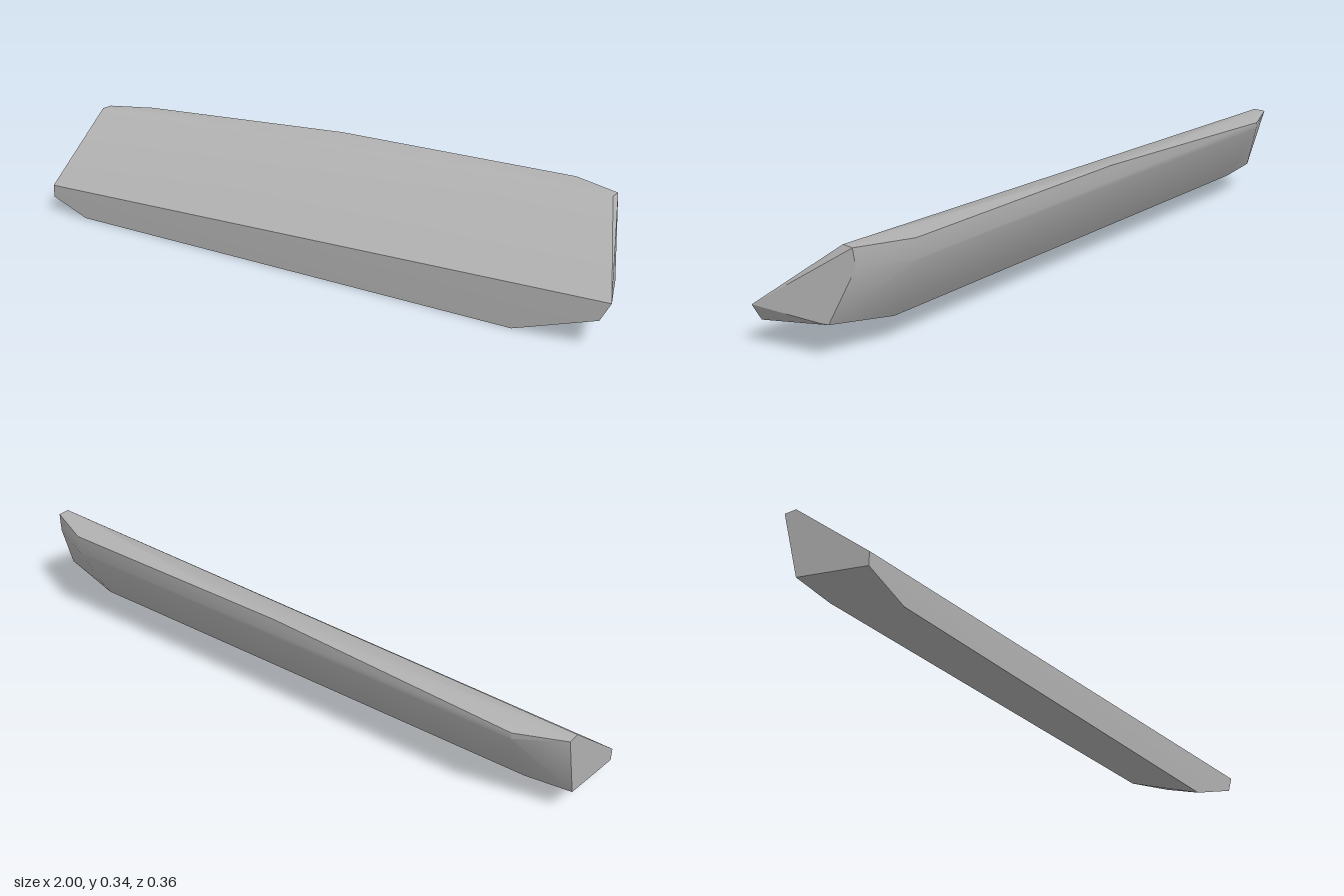
import * as THREE from 'three';
import { ConvexGeometry } from 'three/addons/geometries/ConvexGeometry.js';
import { toCreasedNormals } from 'three/addons/utils/BufferGeometryUtils.js';

export function createModel() {
  const group = new THREE.Group();
  group.name = 'stoneSlab';
  const stone = new THREE.MeshStandardMaterial({ color: 0xb2b2b2 });
  stone.name = 'grey stone';

  // Corners of the chipped slab, from its flat end to its pointed end
  const flatEnd = [
    [-1, 0.05, 0.18], [-1, 0.09, 0.18], [-1, 0.3, -0.08],
    [-1, 0.3, -0.12], [-1, 0.092, -0.06],
  ];
  const flatShoulder = [
    [-0.86, 0, 0.18], [-0.86, 0.085, -0.07], [-0.86, 0.13, -0.099],
    [-0.86, 0.28, -0.179], [-0.86, 0.3, -0.18],
  ];
  const ridge = [[-0.07, 0.341, -0.18]];
  const pointedShoulder = [
    [0.72, 0, 0.18], [0.72, 0.085, -0.07], [0.72, 0.13, -0.099],
    [0.73, 0.28, -0.177], [0.73, 0.341, -0.179],
  ];
  const pointedEnd = [
    [0.88, 0.285, -0.113], [0.885, 0.341, -0.11], [0.885, 0.341, -0.073],
    [0.93, 0.12, -0.02], [0.92, 0.118, -0.04],
    [0.97, 0.085, 0.178], [1, 0.14, 0.176],
  ];

  const corners = [flatEnd, flatShoulder, ridge, pointedShoulder, pointedEnd]
    .flat().map((p) => new THREE.Vector3(...p));
  const slab = new THREE.Mesh(toCreasedNormals(new ConvexGeometry(corners), 0.5), stone);
  slab.name = 'slab';
  group.add(slab);
  return group;
}
